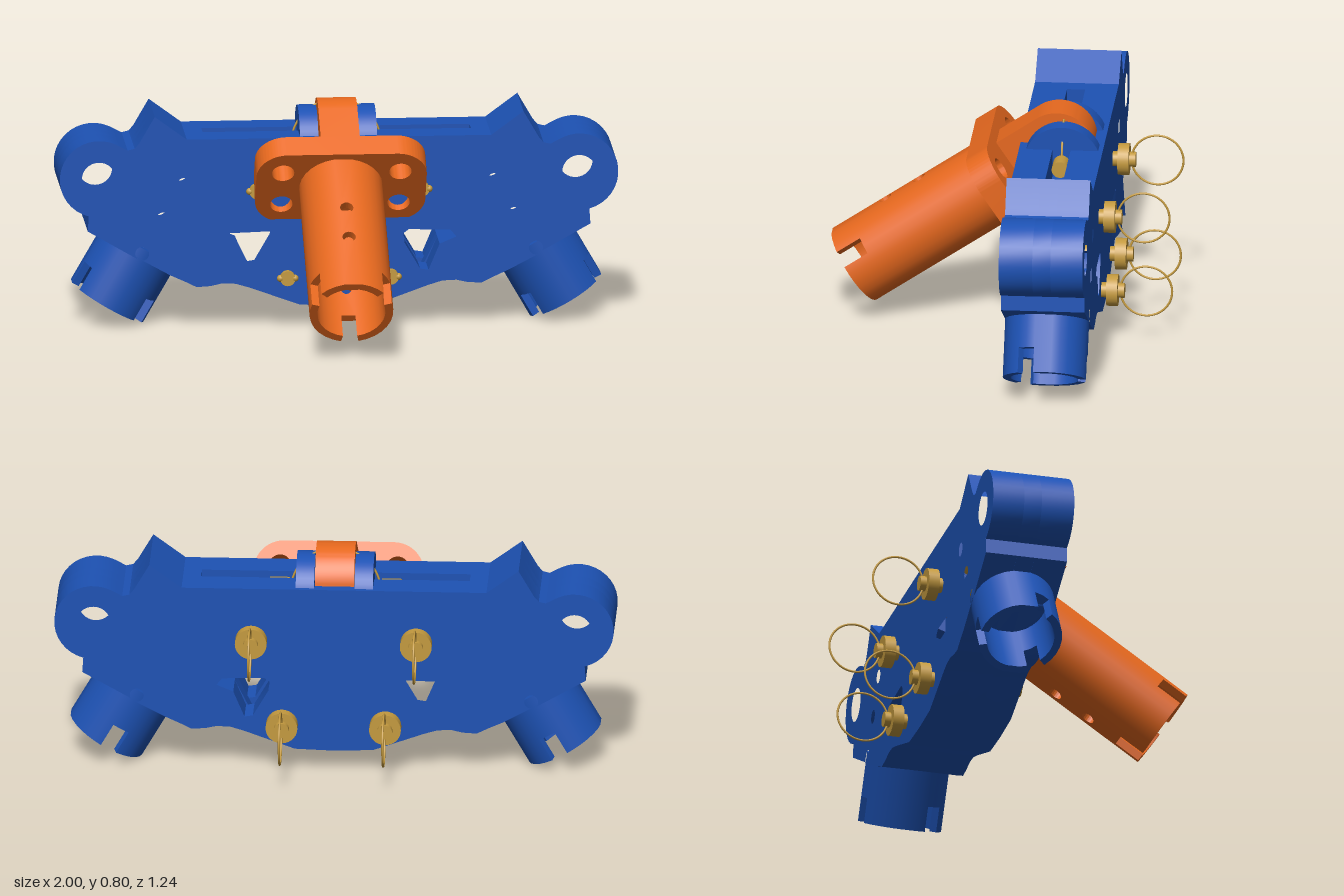
import * as THREE from 'three';
import { toCreasedNormals } from 'three/addons/utils/BufferGeometryUtils.js';

const mat = (color) => new THREE.MeshStandardMaterial({ color });
const rad = THREE.MathUtils.degToRad;
const ZMID = -0.215;

function add(parent, name, geometry, material, x = 0, y = 0, z = 0) {
  const mesh = new THREE.Mesh(geometry, material);
  mesh.name = name;
  mesh.position.set(x, y, z);
  parent.add(mesh);
  return mesh;
}

const toPath = (pts, Type = THREE.Path) => new Type(pts.map(([x, y]) => new THREE.Vector2(x, y)));
const circle = (x, y, r) => new THREE.Path().absarc(x, y, r, 0, Math.PI * 2, true);
const mirrored = (pts) => pts.map(([x, y]) => [-x, y]);

function extrude(shape, depth, z = 0) {
  const g = new THREE.ExtrudeGeometry(shape, { depth, bevelEnabled: false, curveSegments: 20 });
  g.translate(0, 0, z);
  return toCreasedNormals(g, 0.5);
}

// Round wall along +z made of bent strips, with end notches and drilled holes (angles in degrees from +y)
function notchedTube(group, name, material, len, ro, ri, notchDepth, notches, holes = []) {
  const cuts = [-12];
  for (let a = 12; a <= 348; a += 12) if (a !== 180) cuts.push(a);
  for (let i = 0; i < cuts.length - 1; i++) {
    const [a, b] = [cuts[i], cuts[i + 1]], mid = (a + b) / 2;
    const end = notches.some((n) => Math.abs(n - mid) < 10) ? len - notchDepth : len;
    const u0 = rad(a) * ro, u1 = rad(b) * ro;
    const strip = toPath([[u0, 0], [u1, 0], [u1, end], [u0, end]], THREE.Shape);
    if (b - a > 20) holes.forEach((v) => strip.holes.push(circle((u0 + u1) / 2, v, 0.024)));
    const g = new THREE.ExtrudeGeometry(strip, { depth: ro - ri, bevelEnabled: false, curveSegments: 10 });
    const p = g.attributes.position, n = g.attributes.normal;
    for (let k = 0; k < p.count; k++) {
      const f = p.getX(k) / ro, r = ri + p.getZ(k), c = Math.cos(f), s = Math.sin(f);
      const nu = n.getX(k), nv = n.getY(k), nw = n.getZ(k);
      p.setXYZ(k, -r * s, r * c, p.getY(k));
      n.setXYZ(k, -nu * c - nw * s, -nu * s + nw * c, nv);
    }
    add(group, name, g, material);
  }
}

// Half outline of the beam, from top centre round the eye to bottom centre
function beamHalf(slotted) {
  const pts = slotted ? [[0, 0.6], [0.48, 0.6], [0.48, 0.7]] : [[0, 0.7]];
  pts.push([0.545, 0.7], [0.66, 0.785], [0.715, 0.69], [0.732, 0.67], [0.757, 0.664], [0.785, 0.679]);
  for (let a = 115; a >= -75; a -= 10) {
    pts.push([0.86 + 0.14 * Math.cos(rad(a)), 0.56 + 0.14 * Math.sin(rad(a))]);
  }
  pts.push([0.9, 0.37], [0.605, 0.205], [0.55, 0.18], [0.51, 0.16], [0.46, 0.163], [0.42, 0.172],
    [0.37, 0.17], [0.32, 0.155], [0.14, 0.09], [0, 0.085]);
  return pts;
}

function beamShape(slotted) {
  const half = beamHalf(slotted);
  const shape = toPath([...half, ...mirrored(half.slice(1, -1)).reverse()], THREE.Shape);
  const opening = slotted
    ? [[0.42, 0.33], [0.4, 0.355], [0.25, 0.36], [0.15, 0.33], [0.15, 0.155], [0.3, 0.185], [0.36, 0.305]]
    : [[0.42, 0.33], [0.4, 0.355], [0.25, 0.36], [0.23, 0.345], [0.235, 0.31], [0.29, 0.215], [0.32, 0.21], [0.36, 0.305]];
  shape.holes.push(toPath(opening), toPath(mirrored(opening)));
  for (const s of [1, -1]) {
    shape.holes.push(circle(0.86 * s, 0.56, 0.061));
    for (const [x, y] of [[0.556, 0.535], [0.63, 0.41], [0.705, 0.285]]) shape.holes.push(circle(x * s, y, 0.025));
  }
  return shape;
}

// Quick-release pin along z with collar, cap, locking balls and pull ring
function lockPin(parent, x, y, gold) {
  const pin = new THREE.Group();
  pin.name = 'lockPin';
  pin.position.set(x, y, 0);
  parent.add(pin);
  const rod = (name, r, z0, z1) => {
    const g = new THREE.CylinderGeometry(r, r, z1 - z0, 28).rotateX(Math.PI / 2);
    add(pin, name, g, gold, 0, 0, (z0 + z1) / 2);
  };
  rod('pinShaft', 0.027, -0.39, -0.042);
  rod('pinCollar', 0.057, -0.425, -0.385);
  rod('pinCap', 0.027, -0.448, -0.42);
  for (const s of [1, -1]) add(pin, 'lockBall', new THREE.SphereGeometry(0.013, 12, 8), gold, 0.026 * s, 0, -0.052);
  add(pin, 'pullRing', new THREE.TorusGeometry(0.093, 0.004, 8, 48).rotateY(Math.PI / 2), gold, 0, 0, -0.525);
}

export function createModel() {
  const model = new THREE.Group();
  const blue = mat(0x1d52b4), orange = mat(0xe6681e), gold = mat(0xc49a3f);

  // Beam: front and back plates around a slotted core
  add(model, 'beamFront', extrude(beamShape(false), 0.12, -0.185), blue);
  add(model, 'beamCore', extrude(beamShape(true), 0.065, -0.25), blue);
  add(model, 'beamBack', extrude(beamShape(false), 0.115, -0.365), blue);

  for (const s of [1, -1]) {
    // Angled leg sockets
    const socket = new THREE.Group();
    socket.name = 'legSocket';
    const out = new THREE.Vector3(0.866 * s, 0.5, 0), axis = new THREE.Vector3(0.5 * s, -0.866, 0);
    socket.quaternion.setFromRotationMatrix(new THREE.Matrix4().makeBasis(new THREE.Vector3(0, 0, -s), out, axis));
    socket.position.set(0.82 * s, 0.083, ZMID).addScaledVector(axis, -0.25);
    notchedTube(socket, 'legSocketWall', blue, 0.25, 0.15, 0.122, 0.09, [24, 144, 264].map((a) => (s > 0 ? a : 360 - a)));
    model.add(socket);

    // Hinge cheeks and hinge pin ends
    add(model, 'hingeCheek', new THREE.CylinderGeometry(0.14, 0.14, 0.066, 48).rotateZ(Math.PI / 2), blue, 0.105 * s, 0.645, -0.22);
    add(model, 'hingePinEnd', new THREE.CylinderGeometry(0.03, 0.03, 0.07, 24).rotateZ(Math.PI / 2), gold, 0.2 * s, 0.66, -0.22);

    lockPin(model, 0.295 * s, 0.51, gold);
    lockPin(model, 0.185 * s, 0.19, gold);
  }
  add(model, 'hingePin', new THREE.CylinderGeometry(0.02, 0.02, 0.42, 24).rotateZ(Math.PI / 2), gold, 0, 0.66, -0.22);
  add(model, 'hingeWire', new THREE.TorusGeometry(0.16, 0.004, 8, 40, Math.PI), gold, 0, 0.645, -0.22);

  // Tilting arm: flange, socket tube and hinge lug
  const arm = new THREE.Group();
  arm.name = 'tiltingArm';
  arm.position.set(0, 0.535, 0.023);
  arm.rotation.x = 0.591;
  model.add(arm);

  const w = 0.305, h = 0.172, c = 0.11;
  const flange = new THREE.Shape();
  flange.absarc(w - c, h - c, c, 0, Math.PI / 2);
  flange.absarc(c - w, h - c, c, Math.PI / 2, Math.PI);
  flange.absarc(c - w, c - h, c, Math.PI, Math.PI * 1.5);
  flange.absarc(w - c, c - h, c, Math.PI * 1.5, Math.PI * 2);
  for (const x of [-0.21, 0.21]) for (const y of [-0.08, 0.08]) flange.holes.push(circle(x, y, 0.04));
  add(arm, 'flange', extrude(flange, 0.09, -0.09), orange);

  notchedTube(arm, 'armTubeWall', orange, 0.616, 0.15, 0.122, 0.1, [60, 180, 300], [0.239, 0.383]);

  const lug = new THREE.Shape();
  lug.moveTo(0.05, -0.132);
  lug.lineTo(0.264, -0.132);
  lug.absarc(0.264, 0, 0.132, -Math.PI / 2, Math.PI / 2);
  lug.lineTo(0.05, 0.132);
  lug.closePath();
  add(arm, 'hingeLug', extrude(lug, 0.14, -0.07).rotateY(Math.PI / 2), orange);

  return model;
}
